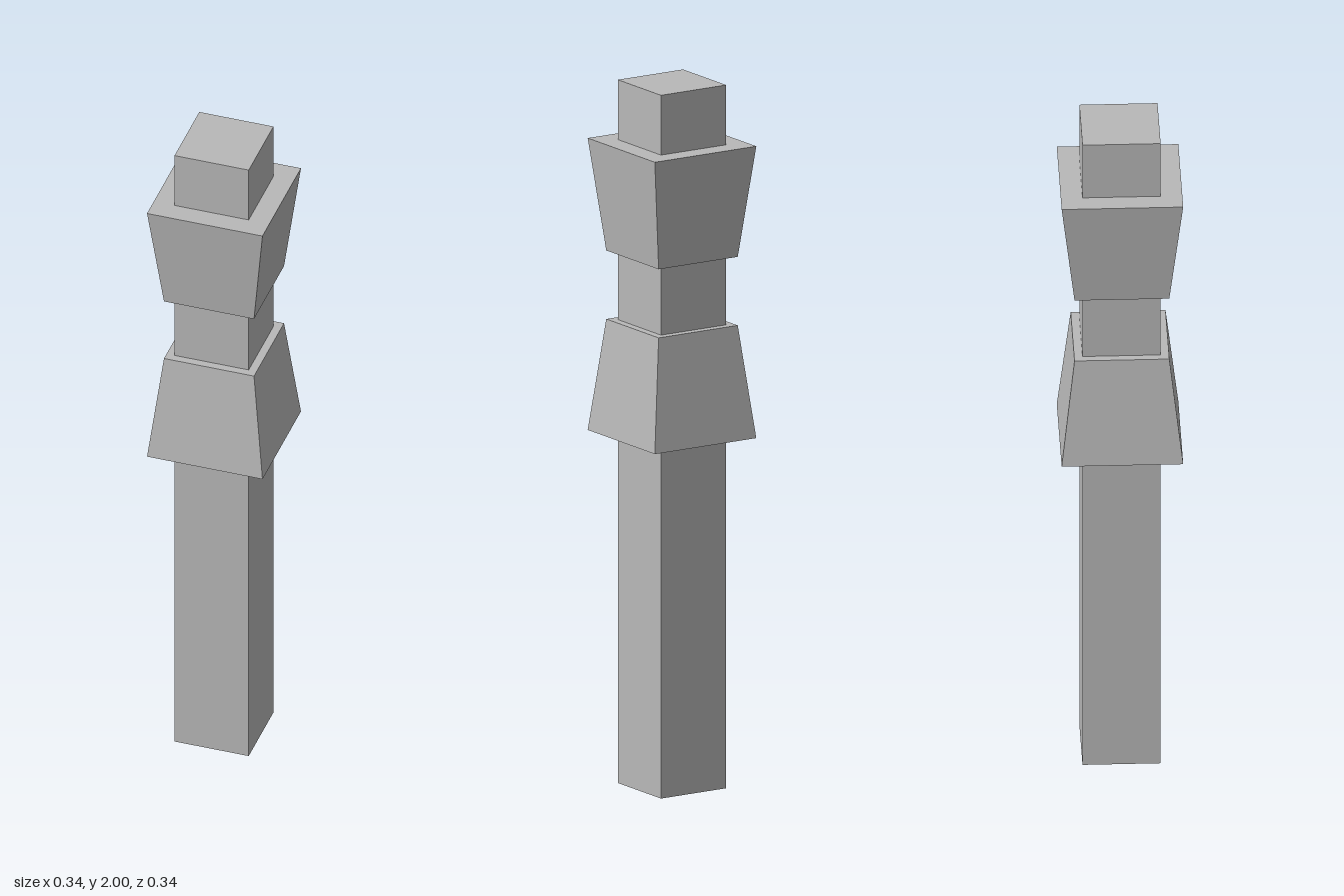
import * as THREE from 'three';

// Square section from y0 to y1 with half-widths h0 (bottom) and h1 (top):
// four walls and a closed top, open underneath.
function openBox(h0, h1, y0, y1) {
  const geometry = new THREE.BoxGeometry(2, y1 - y0, 2);
  const position = geometry.attributes.position;
  for (let i = 0; i < position.count; i++) {
    const isTop = position.getY(i) > 0;
    const half = isTop ? h1 : h0;
    position.setXYZ(i, position.getX(i) * half, isTop ? y1 : y0, position.getZ(i) * half);
  }
  // Drop the bottom face (fourth side of the box, six indices per side)
  const index = Array.from(geometry.index.array);
  index.splice(18, 6);
  geometry.setIndex(index);
  geometry.clearGroups();
  geometry.computeVertexNormals();
  return geometry;
}

export function createModel() {
  const model = new THREE.Group();
  model.name = 'squarePost';

  const stone = new THREE.MeshStandardMaterial({ color: 0xb8b8b8, side: THREE.DoubleSide });
  stone.name = 'grey stone';

  const add = (name, ...size) => {
    const mesh = new THREE.Mesh(openBox(...size), stone);
    mesh.name = name;
    model.add(mesh);
  };

  // Full-height shaft
  add('shaft', 0.108, 0.108, 0, 2);
  // Lower collar flares downwards, upper collar flares upwards
  add('lowerCollar', 0.168, 0.131, 1.0, 1.318);
  add('upperCollar', 0.131, 0.168, 1.513, 1.83);

  return model;
}
